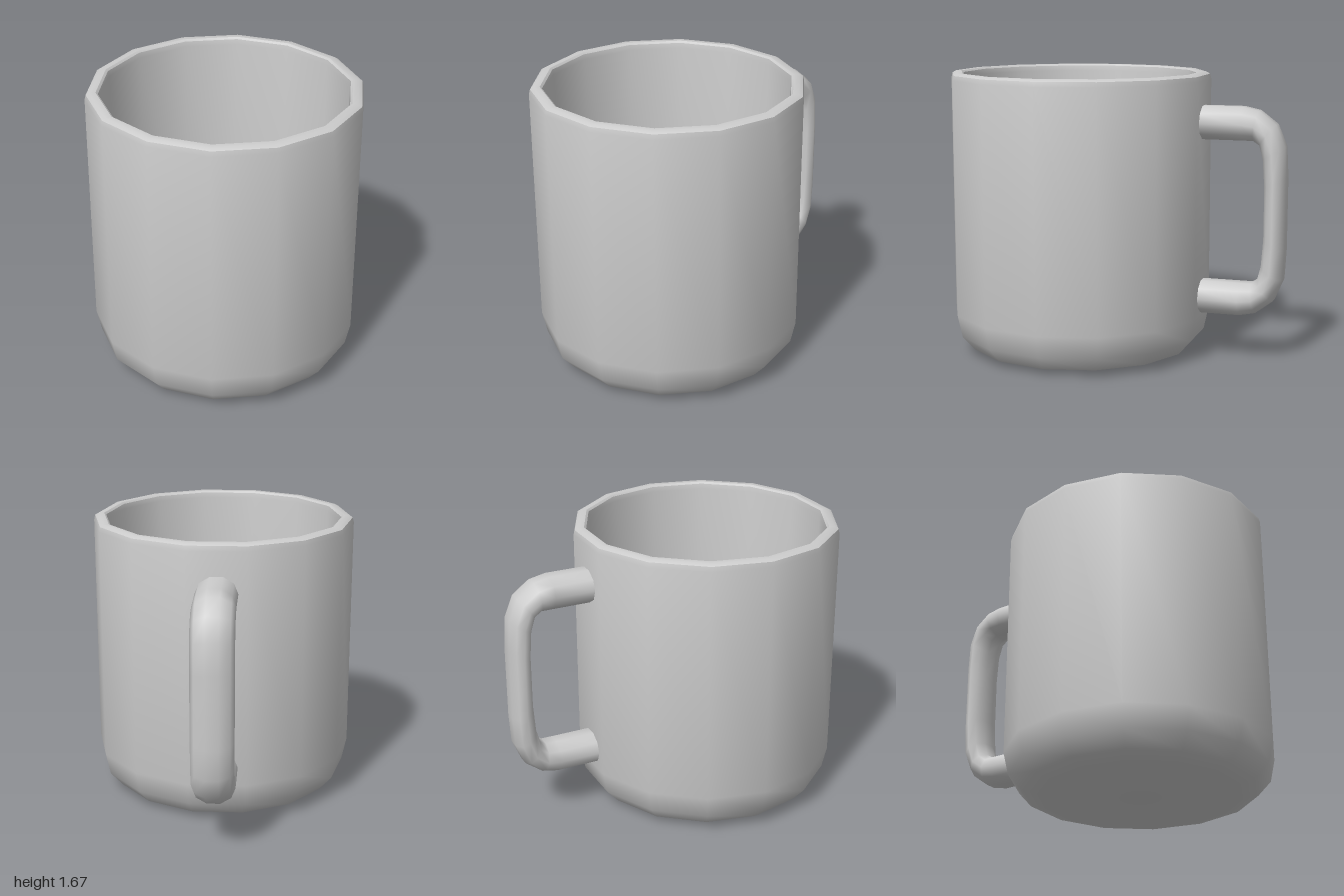
import * as THREE from 'three';
import { toCreasedNormals } from 'three/addons/utils/BufferGeometryUtils.js';

const material = new THREE.MeshStandardMaterial({ color: 0xcccccc });

// Closed cup wall: bottom, bevelled foot, outside, rim, inside and floor
function cupGeometry() {
  const profile = [
    [0, 0], [0.55, 0], [0.67, 0.035], [0.745, 0.12], [0.773, 0.25],
    [0.773, 1.63], [0.766, 1.658], [0.745, 1.67],
    [0.712, 1.67], [0.7, 1.66], [0.695, 1.63], [0.69, 0.1], [0, 0.1],
  ].map(([r, y]) => new THREE.Vector2(r, y));
  const lathe = new THREE.LatheGeometry(profile, 14, Math.PI / 2);
  return toCreasedNormals(lathe, THREE.MathUtils.degToRad(40));
}

// Handle: oval rings spanning matching outer and inner points of the side outline
function handleGeometry() {
  const midY = 0.878, halfWidth = 0.12, sides = 10;
  // outer z, outer y, inner z, inner y
  const upper = [
    [-0.47, 1.487, -0.47, 1.295],
    [-0.74, 1.487, -0.74, 1.295],
    [-0.835, 1.467, -0.805, 1.295],
    [-0.937, 1.39, -0.842, 1.27],
    [-0.99, 1.265, -0.863, 1.19],
    [-1.0, 1.09, -0.875, 1.03],
  ];
  const lower = upper.map(([oz, oy, iz, iy]) => [oz, 2 * midY - oy, iz, 2 * midY - iy]).reverse();
  const rings = [...upper, ...lower];
  const stretch = 0.5 / Math.sin(0.4 * Math.PI); // flats reach the outline
  const positions = [], index = [];
  rings.forEach(([oz, oy, iz, iy], i) => {
    for (let j = 0; j < sides; j++) {
      const a = (j / sides) * Math.PI * 2;
      const s = Math.sin(a) * stretch;
      positions.push(
        halfWidth * Math.cos(a),
        (oy + iy) / 2 + (oy - iy) * s,
        (oz + iz) / 2 + (oz - iz) * s,
      );
      if (i < rings.length - 1) {
        const p = i * sides + j, q = i * sides + (j + 1) % sides;
        index.push(p, p + sides, q, q, p + sides, q + sides);
      }
    }
  });
  const geometry = new THREE.BufferGeometry();
  geometry.setAttribute('position', new THREE.Float32BufferAttribute(positions, 3));
  geometry.setIndex(index);
  geometry.computeVertexNormals();
  return geometry;
}

export function createModel() {
  const mug = new THREE.Group();
  mug.name = 'mug';

  const cup = new THREE.Mesh(cupGeometry(), material);
  cup.name = 'cup';
  cup.position.z = 0.246;

  const handle = new THREE.Mesh(handleGeometry(), material);
  handle.name = 'handle';

  mug.add(cup, handle);
  return mug;
}
